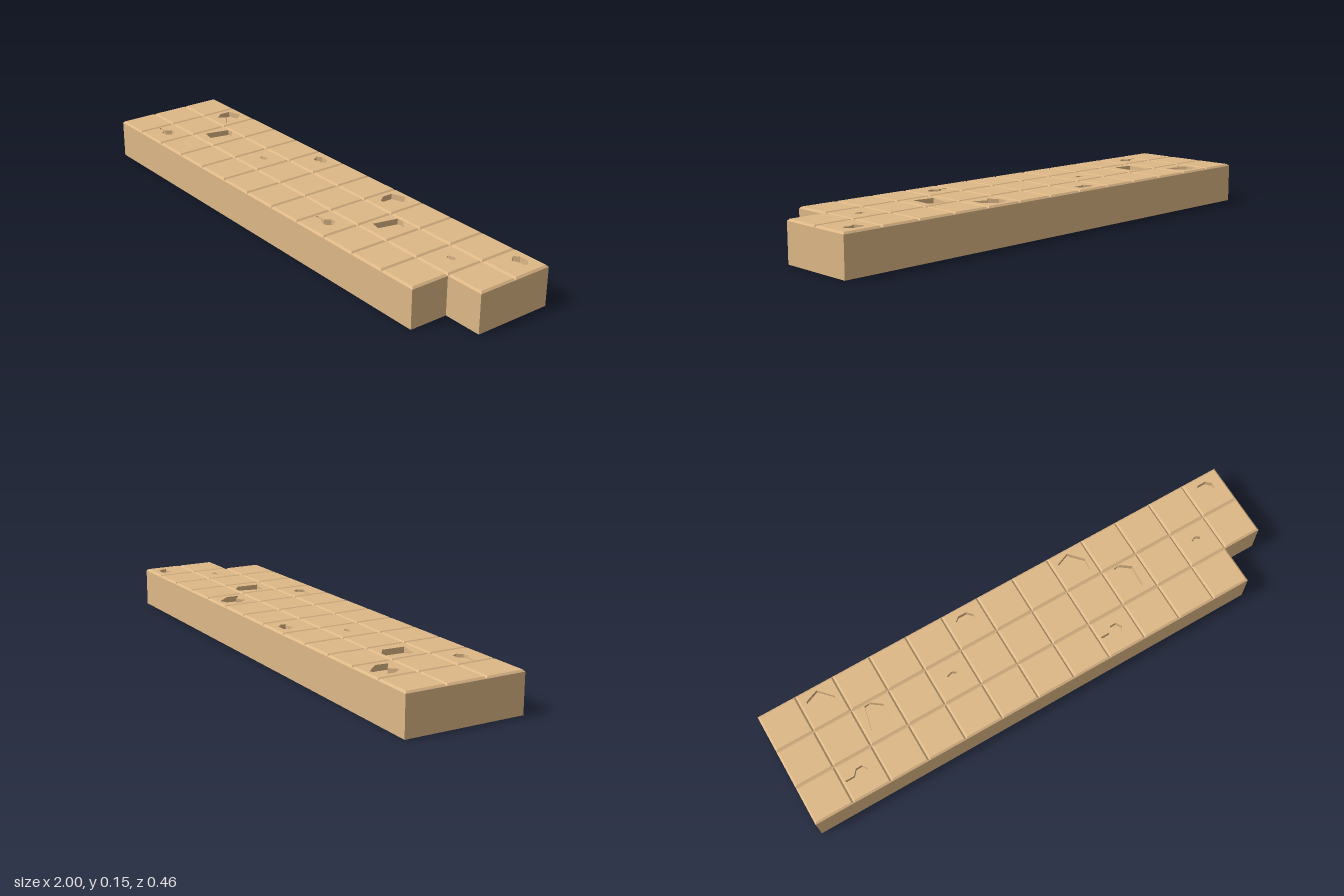
import * as THREE from 'three';
import { mergeGeometries } from 'three/addons/utils/BufferGeometryUtils.js';

const COLS = 13, ROWS = 3, T = 2 / COLS;      // tile grid
const WALL = 0.147, TOP = 0.154, BEVEL = 0.007, PIT = 0.022;

// Outlines are [x, z] points, kept counter-clockwise seen from above
const toV2 = pts => pts.map(([x, z]) => new THREE.Vector2(x, -z));
const ccw = pts => THREE.ShapeUtils.area(toV2(pts)) < 0 ? [...pts].reverse() : pts;
const square = (x, z, h) => [[x - h, z + h], [x + h, z + h], [x + h, z - h], [x - h, z - h]];

// Band of faces between two outlines; faces outward when y1 > y0
function band(a, y0, b, y1) {
  const pos = [];
  a.forEach((p, i) => {
    const j = (i + 1) % a.length;
    const A = [p[0], y0, p[1]], B = [a[j][0], y0, a[j][1]];
    const C = [b[j][0], y1, b[j][1]], D = [b[i][0], y1, b[i][1]];
    pos.push(...A, ...B, ...C, ...A, ...C, ...D);
  });
  const g = new THREE.BufferGeometry();
  g.setAttribute('position', new THREE.Float32BufferAttribute(pos, 3));
  g.computeVertexNormals();
  return g;
}

// Flat horizontal face, with an optional hole
function flat(pts, y, hole) {
  const shape = new THREE.Shape(toV2(pts));
  if (hole) shape.holes.push(new THREE.Path(toV2(hole)));
  const g = new THREE.ShapeGeometry(shape).rotateX(-Math.PI / 2).translate(0, y, 0).toNonIndexed();
  g.deleteAttribute('uv');
  return g;
}

// Pit outlines relative to the tile centre
const crown = [[-0.051, -0.036], [0.002, -0.057], [0.05, -0.004], [0.045, 0.044],
  [0.002, 0.012], [-0.025, 0.039], [-0.051, 0.007]];
const plate = [[-0.029, -0.067], [-0.008, -0.072], [0.035, -0.04], [0.03, 0.045], [-0.051, 0.03]];
const chip = [[-0.02, -0.014], [0.004, -0.022], [0.02, -0.012], [0.008, 0.0], [-0.014, -0.002]];
const bean = [[-0.04, -0.03], [-0.022, -0.045], [0.012, -0.045], [0.032, -0.025],
  [0.03, -0.005], [0.005, -0.012], [-0.02, -0.002]];
const spoon = [[-0.065, -0.009], [-0.03, -0.009], [-0.012, -0.03], [0.012, -0.03],
  [0.026, -0.008], [0.012, 0.014], [-0.014, 0.014], [-0.03, 0.0], [-0.065, 0.0]];

// Pits repeat every seven columns: "row,column" -> outline
const pits = {
  '0,1': crown, '0,5': bean, '1,2': plate, '1,4': chip, '2,1': spoon,
};

export function createModel() {
  const group = new THREE.Group();
  const material = new THREE.MeshStandardMaterial({ color: 0xdeb887, flatShading: true });
  const add = (name, parts) => {
    const mesh = new THREE.Mesh(mergeGeometries(parts), material);
    mesh.name = name;
    group.add(mesh);
  };

  // Slab sides and underside, one tile short at the front left corner
  const w = 1.5 * T, step = 1 - T, zs = T / 2;
  const outline = [[-1, w], [step, w], [step, zs], [1, zs], [1, -w], [-1, -w]];
  const underside = flat(outline, 0).rotateX(Math.PI).scale(1, 1, 1);
  // Turning about x mirrors z, so start from the mirrored outline
  underside.copy(flat(ccw(outline.map(([x, z]) => [x, -z])), 0).rotateX(Math.PI));
  add('slabBody', [band(outline, 0, outline, WALL), underside]);

  // Bevelled tiles, some with sunken pits
  const tiles = [], sunken = [];
  for (let r = 0; r < ROWS; r++) {
    for (let c = 0; c < COLS; c++) {
      if (r === 2 && c === COLS - 1) continue;
      const x = (c + 0.5) * T - 1, z = (r - 1) * T;
      const rim = square(x, z, T / 2 - BEVEL);
      const mark = pits[`${r},${c % 7}`];
      const hole = mark && ccw(mark.map(([px, pz]) => [px + x, pz + z]));
      tiles.push(band(square(x, z, T / 2), WALL, rim, TOP), flat(rim, TOP, hole));
      if (hole) sunken.push(band(hole, TOP, hole, TOP - PIT), flat(hole, TOP - PIT));
    }
  }
  add('topTiles', tiles);
  add('sunkenMarks', sunken);
  return group;
}
